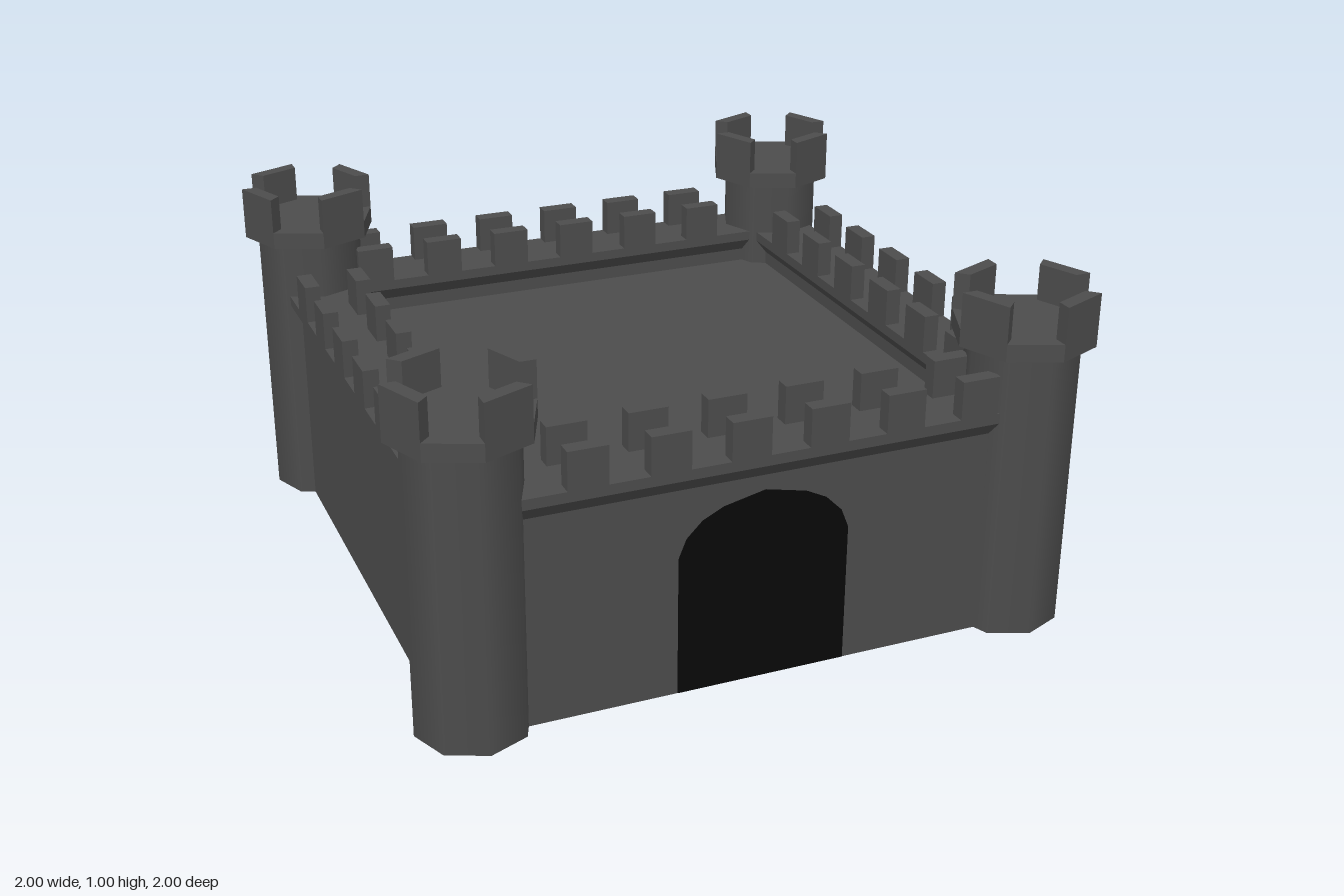
import * as THREE from 'three';

export function createModel() {
  const castle = new THREE.Group();
  castle.name = 'castle';
  const stone = new THREE.MeshStandardMaterial({ color: 0x4c4c4c, side: THREE.DoubleSide });
  stone.name = 'darkStone';
  const black = new THREE.MeshStandardMaterial({ color: 0x080808 });
  black.name = 'doorBlack';

  const add = (parent, name, geometry, material = stone) => {
    const mesh = new THREE.Mesh(geometry, material);
    mesh.name = name;
    parent.add(mesh);
    return mesh;
  };
  const faceted = (geometry) => {
    const flat = geometry.toNonIndexed();
    flat.computeVertexNormals();
    return flat;
  };

  // Wall section as [z, y, half length]: outer face, cornice, walkway, inner face down to the roof
  const roofY = 0.57;
  const section = [[0.87, 0, 0.672], [0.87, 0.61, 0.672], [0.9, 0.65, 0.682], [0.9, 0.68, 0.682],
    [0.7, 0.68, 0.7], [0.7, 0.65, 0.7], [0.73, 0.61, 0.73], [0.73, roofY, 0.73]];
  function wallGeometry() {
    const g = new THREE.PlaneGeometry(2, 1, 1, section.length - 1);
    const p = g.attributes.position;
    for (let i = 0; i < p.count; i++) {
      // Plane rows run from top to bottom, two vertices per row
      const [z, y, half] = section[section.length - 1 - Math.floor(i / 2)];
      p.setXYZ(i, p.getX(i) * half, y, z);
    }
    return faceted(g);
  }

  // Four walls, each with an outer and an inner row of merlons;
  // the stagger of the left wall runs the other way round
  const sides = ['front', 'left', 'back', 'right'];
  sides.forEach((side, i) => {
    const wall = new THREE.Group();
    wall.name = side + 'Wall';
    wall.rotation.y = i * Math.PI / 2;
    add(wall, 'wallFace', wallGeometry());
    const flip = side === 'left' ? -1 : 1;
    for (let k = 0; k < 6; k++) {
      const x = flip * (-0.505 + k * 0.2245);
      for (const [row, z] of [['outerMerlon', 0.8775], ['innerMerlon', 0.7225]]) {
        add(wall, row, new THREE.BoxGeometry(0.112, 0.11, 0.045)).position.set(x, 0.735, z);
      }
    }
    castle.add(wall);
  });

  // Sunken courtyard roof
  const roof = add(castle, 'roof', new THREE.PlaneGeometry(1.46, 1.46));
  roof.rotation.x = -Math.PI / 2;
  roof.position.y = roofY;

  // Arched gateway, a thin plate through the front wall
  const arch = new THREE.Shape([[-0.247, 0.002], [0.247, 0.002], [0.247, 0.41], [0.225, 0.465],
    [0.18, 0.51], [0.12, 0.54], [0, 0.567], [-0.12, 0.54], [-0.18, 0.51], [-0.225, 0.465],
    [-0.247, 0.41]].map(([x, y]) => new THREE.Vector2(x, y)));
  add(castle, 'gateway', new THREE.ExtrudeGeometry(arch, { depth: 0.008, bevelEnabled: false }), black)
    .position.z = 0.866;

  // Battlement block along one side of the octagonal tower head
  const c = 0.2 * Math.SQRT1_2, inner = 0.78;
  const block = new THREE.Shape([[0, -0.2], [c, -c], [c * inner, -c * inner], [0, -0.2 * inner]]
    .map(([x, y]) => new THREE.Vector2(x, y)));
  const blockGeometry = new THREE.ExtrudeGeometry(block, { depth: 0.105, bevelEnabled: false });
  blockGeometry.rotateX(-Math.PI / 2);

  // Corner towers: open shaft, overhanging drum, deck and four merlons
  const tube = (radius, height) => new THREE.CylinderGeometry(radius, radius, height, 8, 1, true);
  for (const x of [-0.8, 0.8]) {
    for (const z of [-0.8, 0.8]) {
      const tower = new THREE.Group();
      tower.name = (z > 0 ? 'front' : 'back') + (x > 0 ? 'Left' : 'Right') + 'Tower';
      tower.position.set(x, 0, z);
      add(tower, 'shaft', tube(0.16, 0.85)).position.y = 0.425;
      const overhang = add(tower, 'overhang', new THREE.RingGeometry(0.16, 0.2, 8));
      overhang.rotation.x = Math.PI / 2;
      overhang.position.y = 0.85;
      add(tower, 'drum', faceted(tube(0.2, 0.05))).position.y = 0.875;
      const deck = add(tower, 'deck', new THREE.CircleGeometry(0.2, 8));
      deck.rotation.x = -Math.PI / 2;
      deck.position.y = 0.9;
      for (let k = 0; k < 4; k++) {
        const merlon = add(tower, 'towerMerlon', blockGeometry);
        merlon.position.y = 0.9;
        merlon.rotation.y = k * Math.PI / 2;
      }
      castle.add(tower);
    }
  }
  return castle;
}
